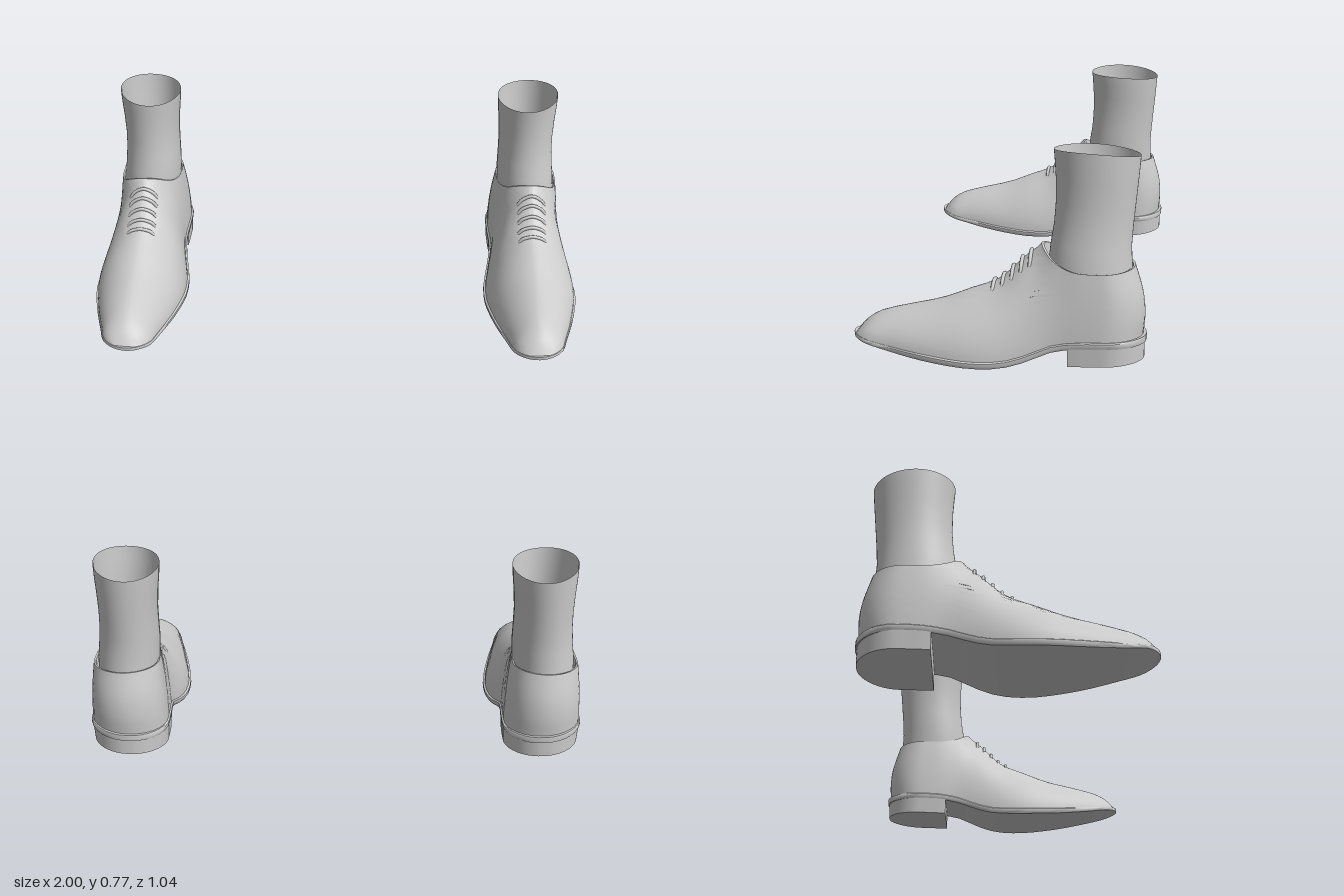
import * as THREE from 'three';
import { toCreasedNormals } from 'three/addons/utils/BufferGeometryUtils.js';

const N = 64; // points per loop
const material = new THREE.MeshStandardMaterial({ color: 0xcccccc, side: THREE.DoubleSide });

// Smooth interpolation through [position, value] pairs
function curve(pts) {
  const slope = (i) => {
    const a = pts[Math.max(i - 1, 0)], b = pts[Math.min(i + 1, pts.length - 1)];
    return (b[1] - a[1]) / (b[0] - a[0]);
  };
  return (p) => {
    let i = 0;
    while (i < pts.length - 2 && p > pts[i + 1][0]) i++;
    const [p0, v0] = pts[i], [p1, v1] = pts[i + 1], d = p1 - p0;
    const s = THREE.MathUtils.clamp((p - p0) / d, 0, 1), s2 = s * s, s3 = s2 * s;
    return v0 * (2 * s3 - 3 * s2 + 1) + slope(i) * d * (s3 - 2 * s2 + s)
      + v1 * (3 * s2 - 2 * s3) + slope(i + 1) * d * (s3 - s2);
  };
}

// Shoe proportions along z (heel to toe)
const centre = curve([[-0.52, 0.8], [-0.3, 0.803], [-0.1, 0.808], [0.1, 0.812], [0.52, 0.81]]);
const widthTable = curve([[-0.52, 0.145], [-0.4, 0.15], [-0.3, 0.15], [-0.2, 0.147], [-0.1, 0.165], [0, 0.185],
  [0.1, 0.187], [0.2, 0.17], [0.3, 0.145], [0.4, 0.115], [0.52, 0.085]]);
const soleTop = curve([[-0.52, 0.112], [-0.3, 0.108], [-0.2, 0.092], [-0.12, 0.06], [-0.05, 0.04],
  [0.05, 0.033], [0.2, 0.04], [0.4, 0.058], [0.52, 0.076]]);
const soleBottom = (z) => soleTop(z) - 0.02 + 0.01 * THREE.MathUtils.smoothstep(z, 0.2, 0.52);
const ridge = curve([[-0.52, 0.7], [-0.3, 0.68], [-0.2, 0.52], [-0.15, 0.428], [-0.1, 0.385], [-0.05, 0.335], [0, 0.292],
  [0.1, 0.252], [0.2, 0.212], [0.35, 0.175], [0.43, 0.15], [0.48, 0.115], [0.515, 0.07]]);
const collar = curve([[-0.52, 0.362], [-0.3, 0.36], [-0.25, 0.368], [-0.2, 0.39], [-0.15, 0.43], [-0.14, 0.43], [0.52, 0.43]]);
const heelLine = curve([[0, -0.508], [0.3, -0.513], [0.6, -0.505], [1, -0.476]]);
const roll = (x) => 0.07 * (x - 0.81);

function halfWidth(z) {
  const rear = Math.max(0, (-0.38 - z) / 0.14), front = Math.max(0, (z - 0.44) / 0.08);
  return widthTable(z) * Math.sqrt(Math.max(0, 1 - rear * rear)) * Math.sqrt(Math.max(0, 1 - front * front));
}
const dome = (v) => Math.pow(Math.max(0, 1 - Math.pow(THREE.MathUtils.clamp(v, 0, 1), 1.8)), 0.6);

// Closed loop from front to back and round again; both sides share each z
function loop(zBack, zFront, width, height) {
  const pts = [];
  for (let i = 0; i < N; i++) {
    const z = (zBack + zFront) / 2 + (zFront - zBack) / 2 * Math.cos(i / N * Math.PI * 2);
    const side = i % (N / 2) === 0 ? 0 : i < N / 2 ? 1 : -1;
    const x = centre(z) + side * width(z);
    pts.push(new THREE.Vector3(x, height(z, x), z));
  }
  return pts;
}

// Skin over stacked loops, with optional strip-filled ends
function loft(rows, capped) {
  const pos = [], idx = [], n = rows[0].length;
  rows.forEach((r) => r.forEach((p) => pos.push(p.x, p.y, p.z)));
  const quad = (a, b, c, d) => idx.push(a, b, c, a, c, d);
  for (let j = 0; j < rows.length - 1; j++) {
    for (let i = 0; i < n; i++) {
      const k = (i + 1) % n;
      quad(j * n + i, j * n + k, (j + 1) * n + k, (j + 1) * n + i);
    }
  }
  if (capped) {
    const top = (rows.length - 1) * n;
    for (let i = 0; i < n / 2; i++) {
      const l0 = (n - i) % n, l1 = n - i - 1;
      quad(top + i, top + i + 1, top + l1, top + l0);
      quad(l0, l1, i + 1, i);
    }
  }
  const g = new THREE.BufferGeometry();
  g.setAttribute('position', new THREE.Float32BufferAttribute(pos, 3));
  g.setIndex(idx);
  return toCreasedNormals(g, 0.75);
}

function upperGeometry() {
  const rows = [], ROWS = 20;
  for (let j = 0; j <= ROWS; j++) {
    const t = j / ROWS, zb = heelLine(t);
    const level = (z) => THREE.MathUtils.lerp(soleTop(z), collar(z), t);
    // Find where this level meets the ridge over the foot
    let lo = -0.25, hi = 0.515;
    for (let k = 0; k < 30; k++) {
      const m = (lo + hi) / 2;
      if (ridge(m) > level(m)) lo = m; else hi = m;
    }
    const width = (z) => {
      const k = Math.max(0, (-0.3 - z) / (-0.3 - zb));
      const v = (level(z) - soleTop(z)) / (ridge(z) - soleTop(z));
      return 0.96 * halfWidth(z - (zb + 0.52) * k) * dome(v);
    };
    rows.push(loop(zb, lo, width, (z, x) => level(z) + roll(x) * (1 - t)));
  }
  // Collar edge turned inward to the lining
  const rim = rows[ROWS];
  for (const [s, drop] of [[0.95, 0.002], [0.9, 0.06]]) {
    rows.push(rim.map((p) => new THREE.Vector3(0.8 + (p.x - 0.8) * s, p.y - drop, -0.32 + (p.z + 0.32) * s)));
  }
  return loft(rows, false);
}

function soleGeometry() {
  const ring = (scale, f) => loop(-0.52 * (0.99 + scale / 100), 0.52, (z) => halfWidth(z) * scale, (z, x) => f(z) + roll(x));
  return loft([
    ring(0.97, soleBottom),
    ring(1, (z) => THREE.MathUtils.lerp(soleBottom(z), soleTop(z), 0.35)),
    ring(1, soleTop),
    ring(0.97, (z) => soleTop(z) + 0.004),
  ], true);
}

function heelGeometry() {
  const ring = (scale, f) => loop(-0.513, -0.255, (z) => halfWidth(z - 0.006) * scale, (z, x) => f(z) + roll(x));
  return loft([
    ring(0.95, (z) => 0.022 - 0.03 * (z + 0.255)),
    ring(0.98, (z) => soleBottom(z) + 0.006),
  ], true);
}

function sockGeometry() {
  // Height, back z, front z, centre x, half width
  const rings = [[0.31, -0.465, -0.175, 0.8, 0.118], [0.37, -0.464, -0.175, 0.797, 0.118], [0.43, -0.461, -0.181, 0.791, 0.116],
    [0.5, -0.465, -0.192, 0.787, 0.112], [0.57, -0.471, -0.197, 0.785, 0.111], [0.65, -0.478, -0.197, 0.783, 0.115],
    [0.71, -0.483, -0.193, 0.781, 0.12], [0.757, -0.486, -0.189, 0.78, 0.122]];
  return loft(rings.map(([y, zb, zf, cx, w], j) => {
    const tilt = j / (rings.length - 1);
    return Array.from({ length: N }, (_, i) => {
      const a = i / N * Math.PI * 2, c = Math.cos(a), s = Math.sin(a);
      const lift = tilt * tilt * (0.008 * c + 0.01 * s - 0.008 * c * c + 0.002);
      return new THREE.Vector3(cx + w * s, y + lift, (zb + zf) / 2 + (zf - zb) / 2 * c);
    });
  }), false);
}

// One lace bar bent over the instep
function laceGeometry(z) {
  const pts = [];
  for (let i = -4; i <= 4; i++) {
    const dx = i / 4 * 0.056, ratio = Math.abs(dx) / (0.96 * halfWidth(z));
    const v = Math.pow(1 - Math.pow(ratio, 1 / 0.6), 1 / 1.8);
    const y = THREE.MathUtils.lerp(soleTop(z), ridge(z), v);
    pts.push(new THREE.Vector3(centre(z) + dx, y + (Math.abs(i) === 4 ? -0.006 : 0.003), z + 0.002));
  }
  return new THREE.TubeGeometry(new THREE.CatmullRomCurve3(pts), 20, 0.007, 8);
}

export function createModel() {
  const model = new THREE.Group();
  const parts = { upper: upperGeometry(), sole: soleGeometry(), heel: heelGeometry(), sock: sockGeometry() };
  [0.012, -0.022, -0.055, -0.087, -0.118].forEach((z, i) => { parts['lace' + (i + 1)] = laceGeometry(z); });
  // The two shoes mirror each other
  for (const [name, side] of [['leftShoe', 1], ['rightShoe', -1]]) {
    const shoe = new THREE.Group();
    shoe.name = name;
    for (const [part, geometry] of Object.entries(parts)) {
      const mesh = new THREE.Mesh(geometry, material);
      mesh.name = part;
      shoe.add(mesh);
    }
    shoe.scale.x = side;
    model.add(shoe);
  }
  return model;
}
